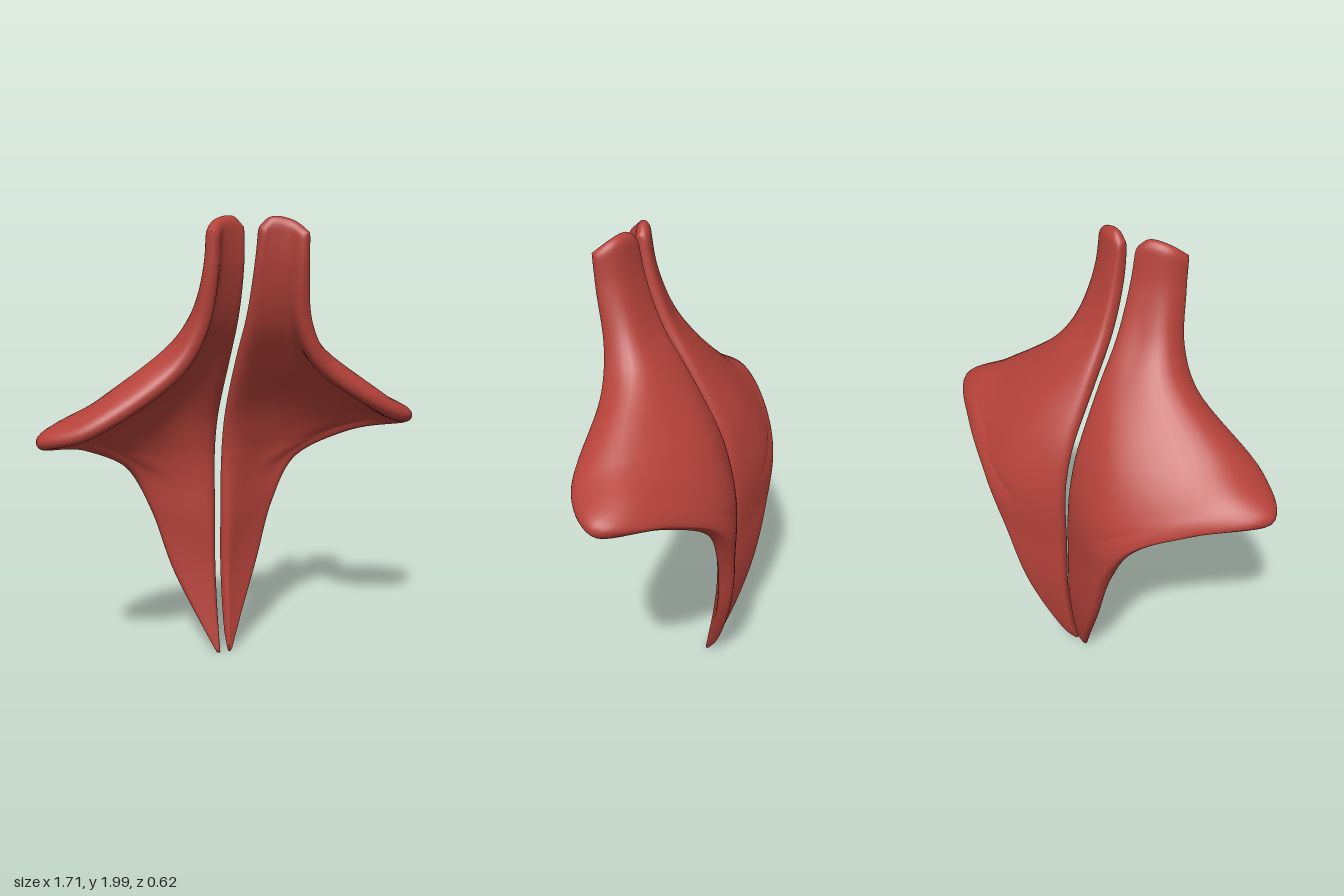
import * as THREE from 'three';
import { mergeVertices } from 'three/addons/utils/BufferGeometryUtils.js';

// Ribs run from the spine edge to the outer border, top to bottom:
// four points of the mid-surface each.
const RIBS = [
  [[.033, 1.955, .205], [.08, 1.995, .21], [.155, 1.985, .24], [.203, 1.935, .305]],
  [[.026, 1.8, .172], [.09, 1.8, .185], [.165, 1.8, .22], [.203, 1.79, .295]],
  [[.022, 1.6, .1], [.11, 1.6, .12], [.205, 1.61, .165], [.228, 1.56, .258]],
  [[.018, 1.4, -.01], [.14, 1.42, 0], [.28, 1.475, .11], [.33, 1.38, .235]],
  [[.018, 1.15, -.145], [.26, 1.19, -.155], [.56, 1.25, .045], [.7, 1.16, .205]],
  [[.018, 1, -.185], [.3, 1.02, -.235], [.66, 1.15, -.05], [.852, 1.11, .05]],
  [[.018, .92, -.192], [.27, .95, -.255], [.52, 1.05, -.18], [.64, 1.045, -.13]],
  [[.018, .83, -.193], [.2, .86, -.255], [.33, .9, -.27], [.42, .915, -.255]],
  [[.018, .66, -.19], [.12, .67, -.23], [.23, .69, -.265], [.3, .7, -.28]],
  [[.018, .4, -.188], [.07, .4, -.21], [.14, .4, -.233], [.205, .4, -.25]],
  [[.018, .1, -.145], [.035, .1, -.151], [.055, .1, -.158], [.075, .1, -.166]],
  [[.02, .01, -.118], [.025, .008, -.119], [.031, .008, -.12], [.036, .01, -.122]]
];
const NS = 90, NU = 32;

const smooth = points => new THREE.CatmullRomCurve3(points, false, 'centripetal');
const columns = [0, 1, 2, 3].map(k => smooth(RIBS.map(r => new THREE.Vector3(...r[k]))));

// Half thickness: fullest at the shoulder, thin at the lower tip
const halfThickness = s => .005 + .023 * (1 - s ** 6) + .016 * Math.sin(Math.PI * s);

// Quarter-round falloff towards a border
const rounded = (d, power) => Math.sqrt(Math.max(0, 1 - Math.abs(d) ** power));

function buildSheet(side) {
  // closer rows at the top end so that it rounds off
  const ss = Array.from({ length: NS + 1 }, (_, i) =>
    i < 10 ? (i / 10) ** 2 * .06 : .06 + .94 * (i - 10) / (NS - 10));
  const us = Array.from({ length: NU + 1 }, (_, j) => (1 - Math.cos(Math.PI * j / NU)) / 2);
  const mid = ss.map(s => {
    const rib = smooth(columns.map(c => c.getPoint(s)));
    return us.map(u => rib.getPoint(u));
  });

  const positions = [], index = [];
  const du = new THREE.Vector3(), ds = new THREE.Vector3(), n = new THREE.Vector3();
  // back face, then front face, meeting along the borders
  for (const face of [1, -1]) {
    const base = positions.length / 3;
    for (let i = 0; i <= NS; i++) for (let j = 0; j <= NU; j++) {
      du.subVectors(mid[i][Math.min(j + 1, NU)], mid[i][Math.max(j - 1, 0)]);
      ds.subVectors(mid[Math.min(i + 1, NS)][j], mid[Math.max(i - 1, 0)][j]);
      n.crossVectors(du, ds).normalize();
      const top = rounded(1 - Math.min(ss[i] / .02, 1), 2);
      const tip = i === NS ? 0 : 1;
      const t = face * rounded(2 * us[j] - 1, 10) * top * tip * halfThickness(ss[i]);
      const p = mid[i][j];
      positions.push(side * (p.x + n.x * t), p.y + n.y * t, p.z + n.z * t);
    }
    for (let i = 0; i < NS; i++) for (let j = 0; j < NU; j++) {
      const a = base + i * (NU + 1) + j, b = a + 1, c = a + NU + 1, d = c + 1;
      if (face * side > 0) index.push(a, b, c, b, d, c);
      else index.push(a, c, b, b, c, d);
    }
  }
  const sheet = new THREE.BufferGeometry();
  sheet.setAttribute('position', new THREE.Float32BufferAttribute(positions, 3));
  sheet.setIndex(index);
  const closed = mergeVertices(sheet, 1e-5);
  closed.computeVertexNormals();
  return closed;
}

export function createModel() {
  const group = new THREE.Group();
  group.name = 'upperBackMuscles';
  const muscleRed = new THREE.MeshStandardMaterial({ color: 0xb5423a });
  muscleRed.name = 'muscleRed';
  for (const [name, side] of [['leftMuscle', 1], ['rightMuscle', -1]]) {
    const mesh = new THREE.Mesh(buildSheet(side), muscleRed);
    mesh.name = name;
    group.add(mesh);
  }
  return group;
}
